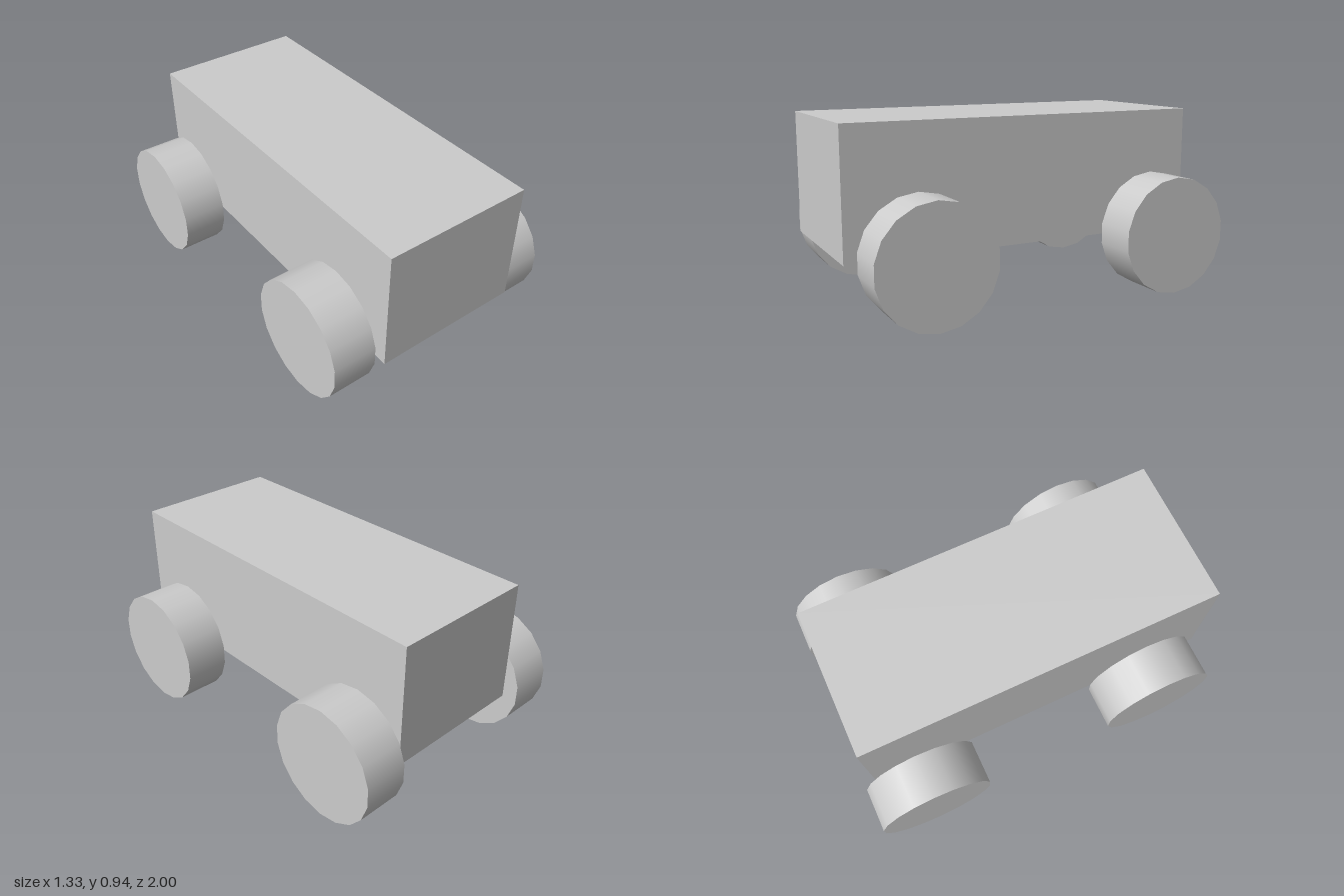
import * as THREE from 'three';

export function createModel() {
  const model = new THREE.Group();
  const material = new THREE.MeshStandardMaterial({ color: 0xcccccc });

  // Box body, slightly longer towards the front
  const body = new THREE.Mesh(new THREE.BoxGeometry(0.793, 0.65, 1.938), material);
  body.name = 'body';
  body.position.set(-0.004, 0.62, 0.031);
  model.add(body);

  // Four 18-sided wheels on the x axis, a corner of each touching the ground
  const radius = 0.308;
  const wheelGeometry = new THREE.CylinderGeometry(radius, radius, 0.234, 18, 1, false, Math.PI / 2);
  wheelGeometry.rotateZ(Math.PI / 2);
  const wheels = [
    ['frontLeftWheel', 0.546, 0.642],
    ['frontRightWheel', -0.529, 0.642],
    ['rearLeftWheel', 0.546, -0.696],
    ['rearRightWheel', -0.548, -0.696],
  ];
  for (const [name, x, z] of wheels) {
    const wheel = new THREE.Mesh(wheelGeometry, material);
    wheel.name = name;
    wheel.position.set(x, radius, z);
    model.add(wheel);
  }

  return model;
}
